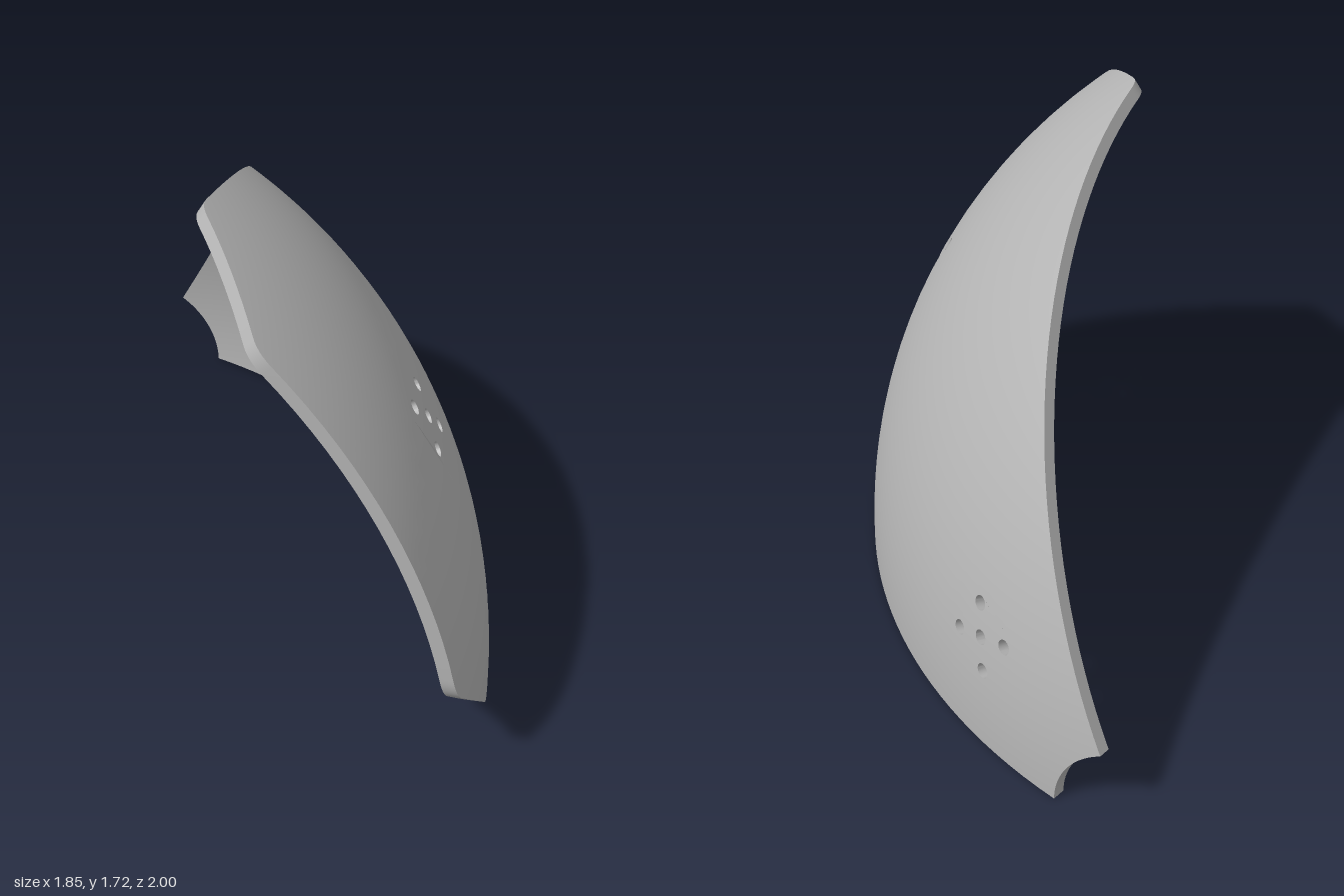
import * as THREE from 'three';
import { toCreasedNormals } from 'three/addons/utils/BufferGeometryUtils.js';

const DEG = Math.PI / 180;
const R_OUT = 2.027, R_IN = 1.981;              // shell radii
const CENTER = new THREE.Vector3(-1.083, 0, 1);  // centre of the sphere
const SPAN = 60 * DEG;                           // wedge angle around the z axis
const P_MIN = Math.asin(0.327 / R_OUT);          // edge of the round notch at the pole
const ROWS = 36, MID = 16;

// A surface point is a Vector2: x = angle around the z axis, y = angle from the pole
const direction = (q) => new THREE.Vector3(
  Math.sin(q.y) * Math.cos(q.x), Math.sin(q.y) * Math.sin(q.x), -Math.cos(q.y));
const at = (q, r) => direction(q).multiplyScalar(r).add(CENTER);

// Bevelled, rounded corner: pairs of (z, y) on the outer surface
function cornerColumns() {
  const v = (z, y) => new THREE.Vector2(z, y);
  const path = new THREE.CurvePath();
  path.add(new THREE.QuadraticBezierCurve(v(0.55, 0), v(0.6, 0), v(0.64, 0.04)));
  path.add(new THREE.LineCurve(v(0.64, 0.04), v(0.965, 0.365)));
  path.add(new THREE.QuadraticBezierCurve(v(0.965, 0.365), v(1, 0.4), v(1, 0.46)));
  return path.curves.flatMap((c, i) => c.getPoints(8).slice(i ? 1 : 0)).map((k) => {
    const dz = 1 - k.x, rho = Math.sqrt(R_OUT * R_OUT - dz * dz);
    return { t: Math.asin(k.y / rho), p: Math.acos(dz / R_OUT) };
  });
}

// Columns across the wedge, each with its own end angle
function makeColumns() {
  const left = cornerColumns();
  const right = left.map((c) => ({ t: SPAN - c.t, p: c.p })).reverse();
  const t0 = left[left.length - 1].t, t1 = right[0].t, middle = [];
  for (let i = 1; i < MID; i++) middle.push({ t: t0 + (t1 - t0) * i / MID, p: Math.PI / 2 });
  return [...left, ...middle, ...right];
}

// Five round holes laid out like the pips of a die, around polar angle p
function holeLoops(p) {
  const c = new THREE.Vector2(SPAN / 2, p), n = direction(c);
  const across = new THREE.Vector3(-Math.sin(c.x), Math.cos(c.x), 0);
  const down = new THREE.Vector3().crossVectors(n, across);
  const d = 0.083, r = 0.026, sides = 20;
  return [[0, 0], [d, d], [-d, d], [d, -d], [-d, -d]].map(([a, b]) => {
    const loop = [];
    for (let i = 0; i < sides; i++) {
      const w = -i / sides * Math.PI * 2;
      const v = n.clone().multiplyScalar(R_OUT)
        .addScaledVector(across, a + r * Math.cos(w))
        .addScaledVector(down, -b + r * Math.sin(w)).normalize();
      loop.push(new THREE.Vector2(Math.atan2(v.y, v.x), Math.acos(-v.z)));
    }
    return THREE.ShapeUtils.isClockWise(loop) ? loop : loop.reverse();
  });
}

function geometryFrom(points, normals) {
  const g = new THREE.BufferGeometry().setFromPoints(points);
  if (!normals) return toCreasedNormals(g, 0.6);
  g.setAttribute('normal', new THREE.Float32BufferAttribute(normals.flatMap((n) => n.toArray()), 3));
  return g;
}

// One side of the shell
function skin(tris, r, inward) {
  const list = tris.flatMap(([a, b, c]) => (inward ? [a, c, b] : [a, b, c]));
  return geometryFrom(list.map((q) => at(q, r)),
    list.map((q) => direction(q).multiplyScalar(inward ? -1 : 1)));
}

// Walls through the thickness along closed loops
function walls(loops) {
  const pts = [];
  for (const loop of loops) loop.forEach((a, i) => {
    const b = loop[(i + 1) % loop.length];
    const iA = at(a, R_IN), iB = at(b, R_IN), oA = at(a, R_OUT), oB = at(b, R_OUT);
    pts.push(iA, iB, oB, iA, oB, oA);
  });
  return geometryFrom(pts);
}

export function createModel() {
  const cols = makeColumns(), last = cols.length - 1, mid = last / 2;
  const grid = cols.map(({ t, p }) => Array.from({ length: ROWS + 1 },
    (_, j) => new THREE.Vector2(t, P_MIN + (p - P_MIN) * j / ROWS)));

  // Closed outline of a block of grid cells, counter-clockwise
  const outline = (i0, i1, j0, j1) => {
    const o = [];
    for (let i = i0; i < i1; i++) o.push(grid[i][j0]);
    for (let j = j0; j < j1; j++) o.push(grid[i1][j]);
    for (let i = i1; i > i0; i--) o.push(grid[i][j1]);
    for (let j = j1; j > j0; j--) o.push(grid[i0][j]);
    return o;
  };

  // Blocks of cells replaced by patches with vent holes
  const step = (Math.PI / 2 - P_MIN) / ROWS;
  const patches = [[23.4, 5], [72.2, 3]].map(([deg, half]) => {
    const p = deg * DEG, reach = 4.1 * DEG;
    return {
      i0: mid - half, i1: mid + half,
      j0: Math.floor((p - reach - P_MIN) / step), j1: Math.ceil((p + reach - P_MIN) / step),
      holes: holeLoops(p),
    };
  });

  const tris = [];
  for (let i = 0; i < last; i++) for (let j = 0; j < ROWS; j++) {
    if (patches.some((k) => i >= k.i0 && i < k.i1 && j >= k.j0 && j < k.j1)) continue;
    const a = grid[i][j], b = grid[i + 1][j], c = grid[i + 1][j + 1], d = grid[i][j + 1];
    tris.push([a, b, c], [a, c, d]);
  }
  for (const k of patches) {
    const edge = outline(k.i0, k.i1, k.j0, k.j1), all = [edge, ...k.holes].flat();
    for (const f of THREE.ShapeUtils.triangulateShape(edge, k.holes)) tris.push(f.map((n) => all[n]));
  }

  const grey = new THREE.MeshStandardMaterial({ color: 0xb4b4b4 });
  grey.name = 'plain grey';
  const group = new THREE.Group();
  group.name = 'domeSegment';
  const add = (name, geometry) => {
    const mesh = new THREE.Mesh(geometry, grey);
    mesh.name = name;
    group.add(mesh);
  };
  add('outerSkin', skin(tris, R_OUT, false));
  add('innerSkin', skin(tris, R_IN, true));
  add('rimWalls', walls([outline(0, last, 0, ROWS)]));
  add('ventHoleWalls', walls(patches.flatMap((k) => k.holes)));
  return group;
}
